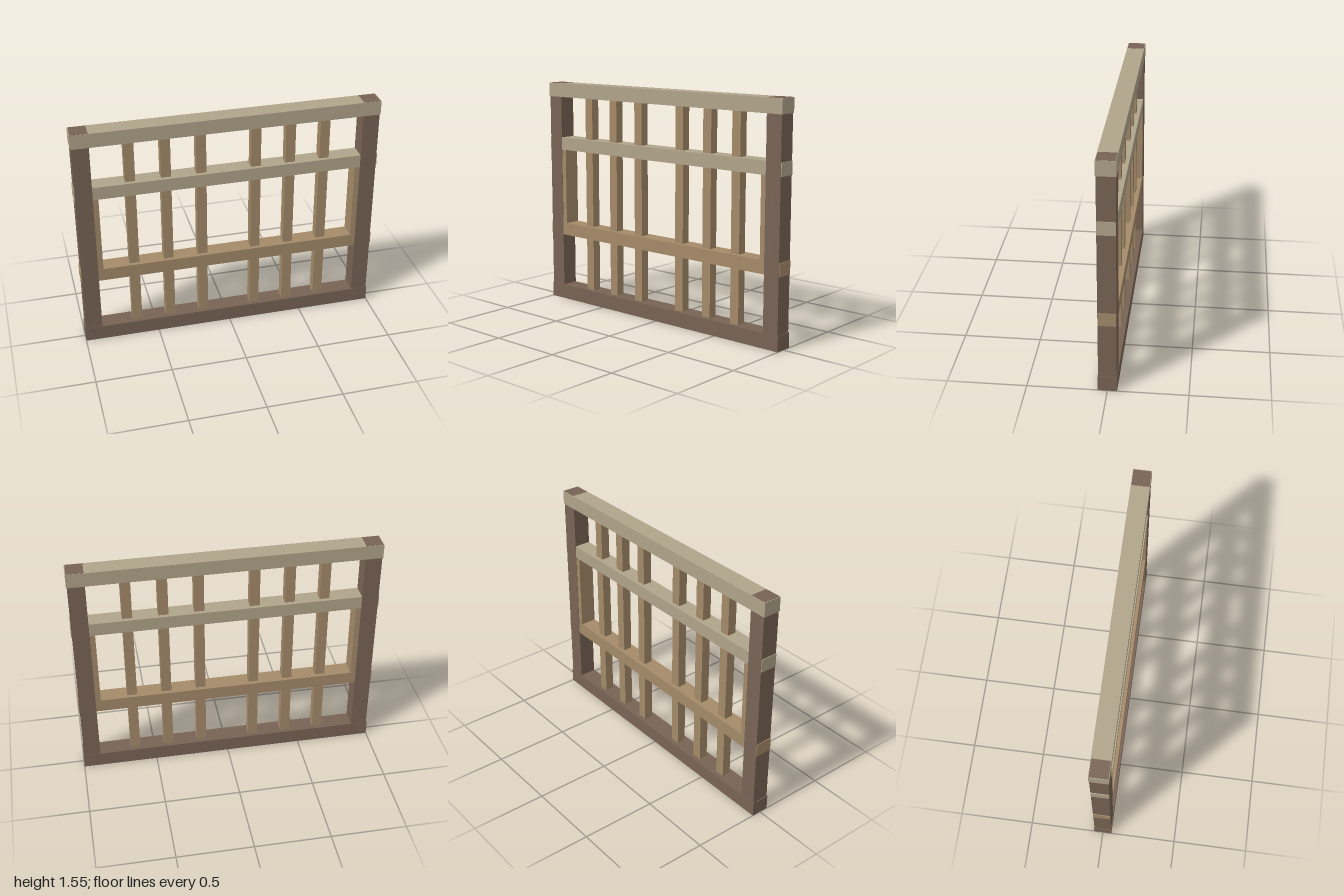
import * as THREE from 'three';

export function createModel() {
  const model = new THREE.Group();
  model.name = 'woodenLattice';

  const mat = (name, color) => {
    const m = new THREE.MeshStandardMaterial({ color });
    m.name = name;
    return m;
  };
  const dark = mat('darkWood', 0x786354);
  const tan = mat('tanWood', 0xa48a69);
  const pale = mat('paleWood', 0xb0a48a);

  // Timber given by its x range, y range and depth, centred on z = 0
  function timber(name, material, x0, x1, y0, y1, depth) {
    const mesh = new THREE.Mesh(new THREE.BoxGeometry(x1 - x0, y1 - y0, depth), material);
    mesh.position.set((x0 + x1) / 2, (y0 + y1) / 2, 0);
    mesh.name = name;
    model.add(mesh);
  }

  // Horizontal beams and rails
  timber('baseBeam', dark, -1, 1, 0, 0.1, 0.12);
  timber('topBeam', pale, -1, 1, 1.455, 1.55, 0.12);
  timber('lowerRail', tan, -1, 1, 0.47, 0.557, 0.112);
  timber('upperRail', pale, -1, 1, 1.083, 1.17, 0.112);

  for (const side of [-1, 1]) {
    const label = side > 0 ? 'left' : 'right';
    const mirrored = (name, material, inner, outer, y0, y1, depth) =>
      timber(label + name, material, Math.min(side * inner, side * outer),
        Math.max(side * inner, side * outer), y0, y1, depth);

    // Corner post, its end grain just showing through the top beam
    mirrored('Post', dark, 0.885, 0.995, 0.01, 1.551, 0.114);
    // Batten lining the post between the two rails
    mirrored('Batten', tan, 0.85, 0.95, 0.55, 1.09, 0.11);
    // Slim upright bars
    [0.18, 0.41, 0.64].forEach((x, i) =>
      mirrored('Bar' + (i + 1), tan, x - 0.0325, x + 0.0325, 0.09, 1.46, 0.06));
  }
  return model;
}
